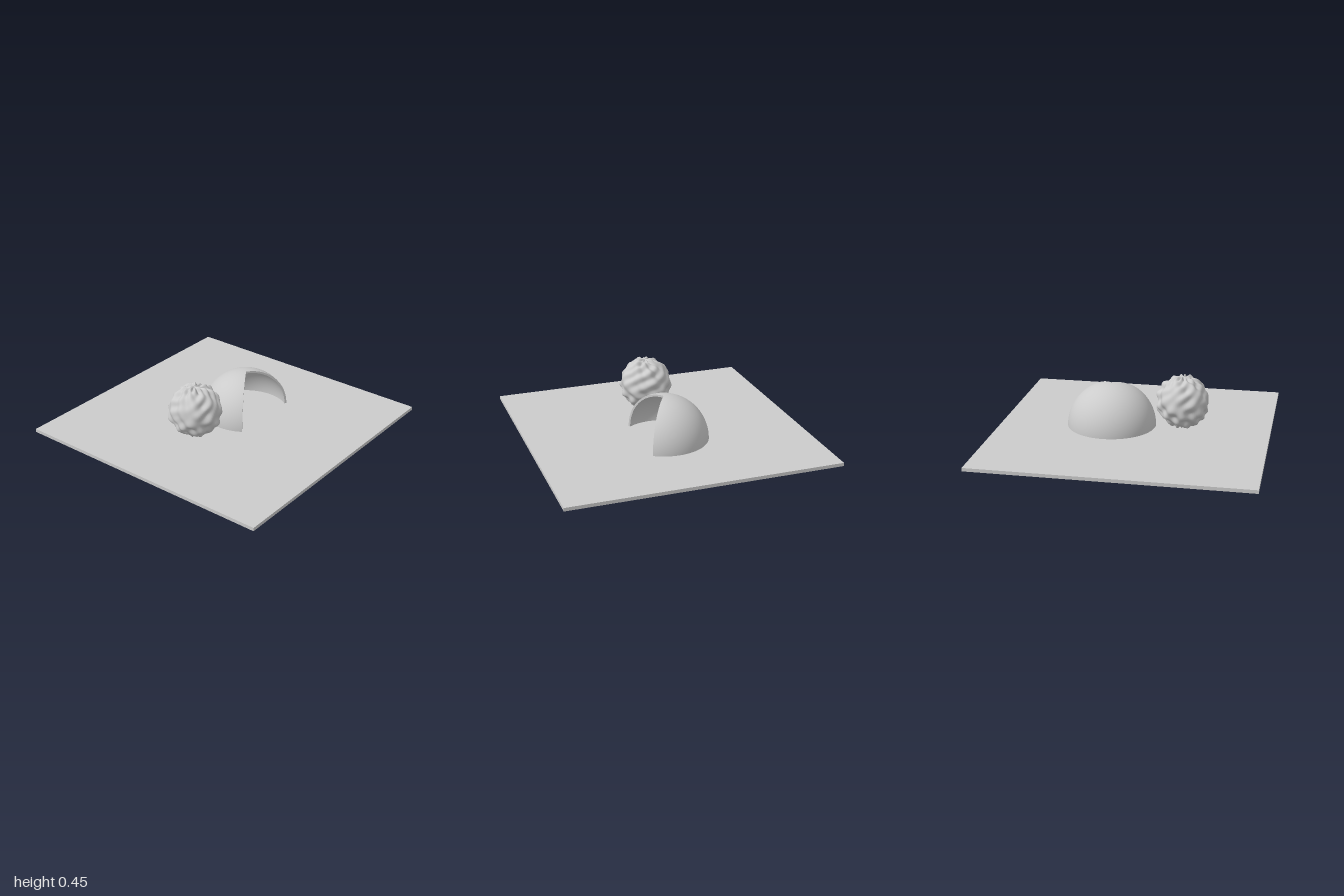
import * as THREE from 'three';
import { mergeVertices } from 'three/addons/utils/BufferGeometryUtils.js';

const OUTER = 0.33, INNER = 0.315, HALF_OPENING = 1; // opening half-angle in radians

function makeMesh(name, geometry, doubleSided = false) {
  const material = new THREE.MeshStandardMaterial({
    color: 0xcccccc,
    side: doubleSided ? THREE.DoubleSide : THREE.FrontSide,
  });
  const mesh = new THREE.Mesh(geometry, material);
  mesh.name = name;
  return mesh;
}

// Quarter arc from the base up to the pole
function arc(radius, steps = 32) {
  return Array.from({ length: steps + 1 }, (_, i) => {
    const a = (i / steps) * Math.PI / 2;
    return new THREE.Vector2(Math.max(0, Math.cos(a) * radius), Math.sin(a) * radius);
  });
}

// Half-sphere skin with a wedge left out toward the front
function domeSkin(radius) {
  return new THREE.LatheGeometry(arc(radius), 72, HALF_OPENING, 2 * (Math.PI - HALF_OPENING));
}

// Sphere with rounded lumps that fold together toward the poles
function lumpyBall() {
  const geometry = new THREE.SphereGeometry(1, 96, 72);
  geometry.deleteAttribute('uv');
  geometry.deleteAttribute('normal');
  const merged = mergeVertices(geometry, 1e-5);
  const pos = merged.attributes.position;
  const v = new THREE.Vector3();
  for (let i = 0; i < pos.count; i++) {
    v.fromBufferAttribute(pos, i).normalize();
    const theta = Math.acos(THREE.MathUtils.clamp(v.y, -1, 1));
    const phi = Math.atan2(v.z, v.x);
    const fade = Math.min(1, Math.sin(theta) * 4);
    const lumps = Math.sin(8 * phi + 1.4 * Math.sin(3 * theta)) * Math.sin(9 * theta + 1.2 * Math.sin(2 * phi));
    const ripples = Math.sin(5 * phi - 6 * theta) * Math.cos(7 * theta + Math.sin(3 * phi));
    v.multiplyScalar(0.187 + fade * (0.012 * lumps + 0.008 * ripples));
    pos.setXYZ(i, v.x, v.y, v.z);
  }
  merged.computeVertexNormals();
  return merged;
}

export function createModel() {
  const model = new THREE.Group();

  // Ground slab
  const floor = makeMesh('floor', new THREE.BoxGeometry(2, 0.025, 2));
  floor.position.y = 0.0125;
  model.add(floor);

  // Open dome shelter
  const dome = new THREE.Group();
  dome.name = 'dome';
  dome.position.set(0.18, 0.02, 0.035);
  dome.add(makeMesh('domeOuterSkin', domeSkin(OUTER), true));
  dome.add(makeMesh('domeInnerSkin', domeSkin(INNER), true));

  // Flat rims that close the shell on both sides of the opening
  const rim = new THREE.ShapeGeometry(new THREE.Shape([...arc(OUTER), ...arc(INNER).reverse()]));
  for (const side of [1, -1]) {
    const edge = makeMesh(side > 0 ? 'leftRim' : 'rightRim', rim, true);
    edge.rotation.y = side * HALF_OPENING - Math.PI / 2;
    dome.add(edge);
  }
  model.add(dome);

  // Lumpy ball hovering beside the dome
  const ball = makeMesh('lumpyBall', lumpyBall());
  ball.position.set(-0.36, 0.25, -0.008);
  model.add(ball);

  return model;
}
